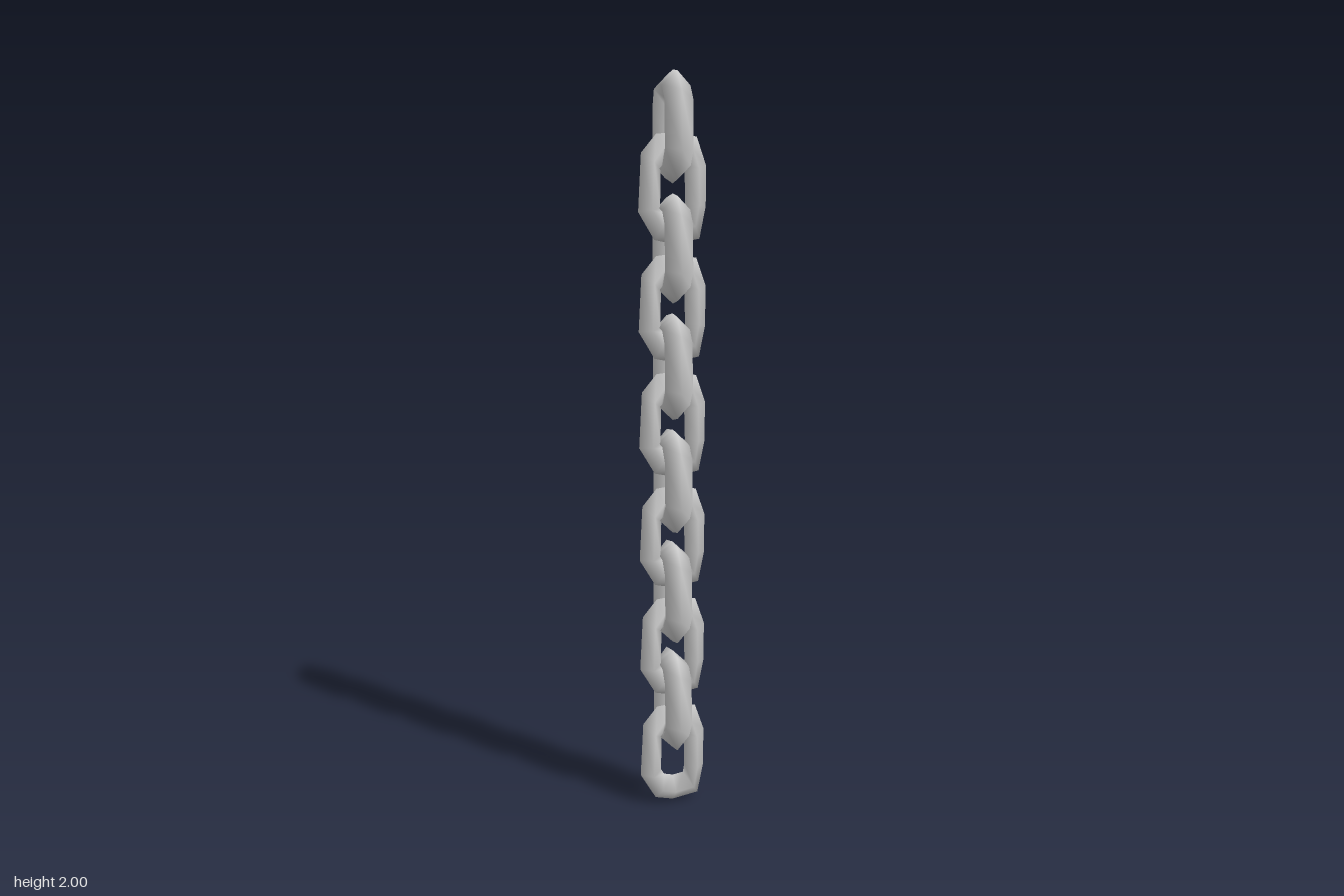
import * as THREE from 'three';

// Outer and inner outline of one link, clockwise from its top
const OUTER = [
  [0, 0.143], [0.065, 0.132], [0.09, 0.06], [0.09, -0.045], [0.073, -0.13],
  [0, -0.143], [-0.05, -0.132], [-0.093, -0.06], [-0.085, 0.09], [-0.045, 0.138],
];
const INNER = [
  [0, 0.07], [0.026, 0.062], [0.032, 0.04], [0.034, -0.04], [0.03, -0.065],
  [0, -0.07], [-0.025, -0.064], [-0.034, -0.05], [-0.032, 0.045], [-0.022, 0.066],
];
const HALF_DEPTH = 0.038;

// Low-poly ring: a four-cornered cross-section swept round the outline
function linkGeometry() {
  const positions = [];
  const indices = [];
  const count = OUTER.length;
  for (let i = 0; i < count; i++) {
    const [ox, oy] = OUTER[i];
    const [ix, iy] = INNER[i];
    const mx = (ox + ix) / 2;
    const my = (oy + iy) / 2;
    positions.push(ox, oy, 0, mx, my, HALF_DEPTH, ix, iy, 0, mx, my, -HALF_DEPTH);
    for (let k = 0; k < 4; k++) {
      const next = ((i + 1) % count) * 4;
      const k2 = (k + 1) % 4;
      const a = i * 4 + k, b = next + k, c = next + k2, d = i * 4 + k2;
      indices.push(a, d, b, b, d, c);
    }
  }
  const geometry = new THREE.BufferGeometry();
  geometry.setAttribute('position', new THREE.Float32BufferAttribute(positions, 3));
  geometry.setIndex(indices);
  geometry.computeVertexNormals();
  return geometry;
}

export function createModel() {
  const chain = new THREE.Group();
  chain.name = 'chain';
  const material = new THREE.MeshStandardMaterial({ color: 0xcccccc });
  const geometry = linkGeometry();

  // Interlocking links, every other one turned a quarter
  const links = 12;
  const top = 1.857;
  const pitch = (top - 0.143) / (links - 1);
  for (let i = 0; i < links; i++) {
    const link = new THREE.Mesh(geometry, material);
    link.name = `chainLink${i + 1}`;
    link.position.y = top - i * pitch;
    link.rotation.y = i % 2 === 0 ? Math.PI / 2 : 0;
    chain.add(link);
  }
  return chain;
}
